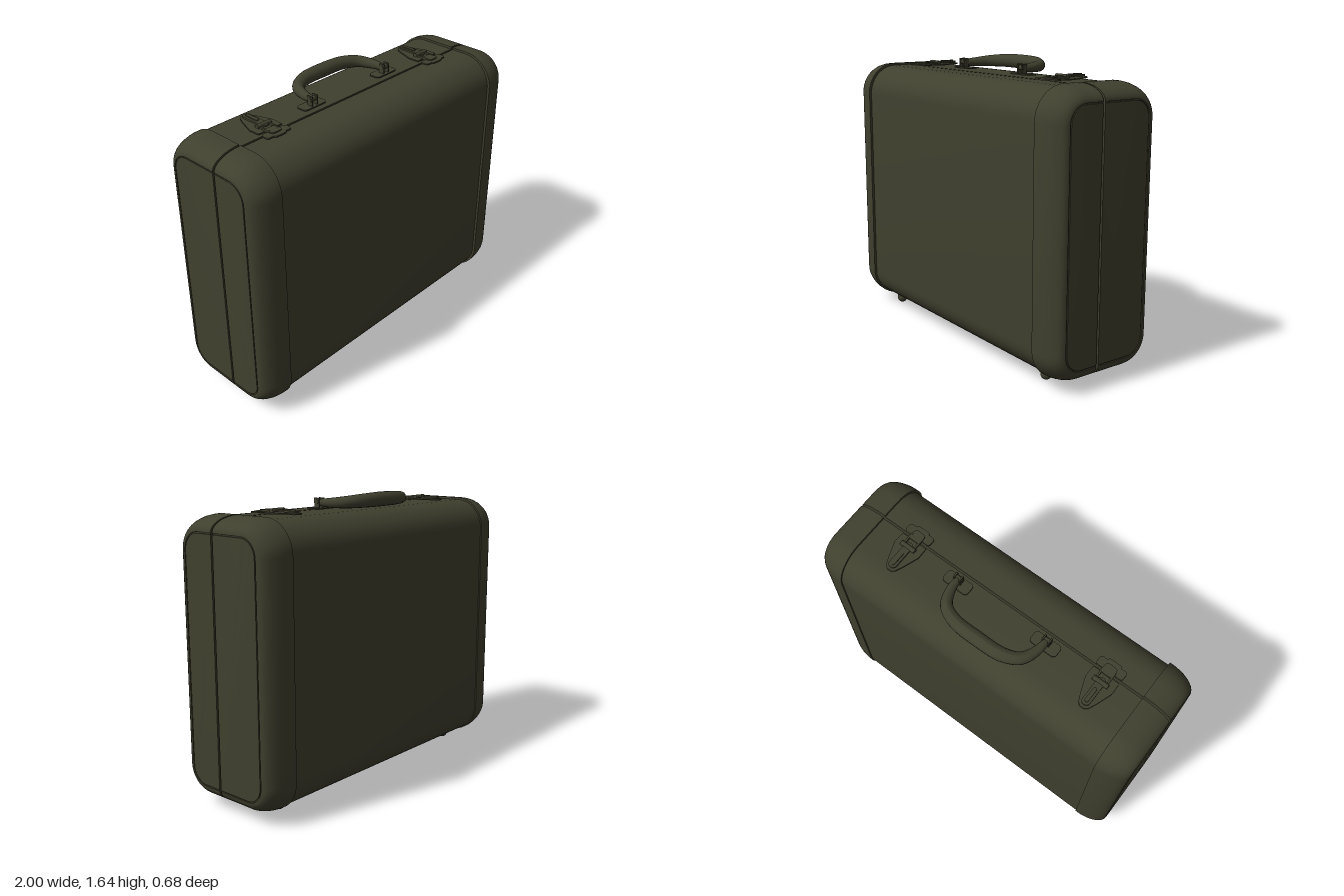
import * as THREE from 'three';
import { toCreasedNormals } from 'three/addons/utils/BufferGeometryUtils.js';

const olive = new THREE.MeshStandardMaterial({ color: 0x40402f });
olive.name = 'dark olive';

const SEAM_FRONT = 0.056, SEAM_BACK = 0.044;

function add(parent, name, geometry, x = 0, y = 0, z = 0) {
  const m = new THREE.Mesh(geometry, olive);
  m.name = name;
  m.position.set(x, y, z);
  parent.add(m);
  return m;
}

// Half of a rounded rectangle in (z, y), cut along the seam; s = 1 front, -1 back
function halfProfile(s, inset, box) {
  const top = box.top - inset, bottom = box.bottom + inset;
  const side = box.depth - inset, r = box.r - inset;
  const seam = s > 0 ? SEAM_FRONT : SEAM_BACK;
  const pts = [[seam, top]];
  const n = 10;
  for (let i = 0; i <= n; i++) {
    const a = (i / n) * Math.PI / 2;
    pts.push([s * (side - r + r * Math.sin(a)), top - r + r * Math.cos(a)]);
  }
  for (let i = 0; i <= n; i++) {
    const a = (i / n) * Math.PI / 2;
    pts.push([s * (side - r + r * Math.cos(a)), bottom + r - r * Math.sin(a)]);
  }
  pts.push([seam, bottom]);
  return s > 0 ? pts : pts.reverse();
}

// Closed loft through half profiles; sections are [x, inset] with x increasing
function loft(s, sections, box) {
  const pos = [], idx = [];
  const rings = sections.map(([x, d]) => halfProfile(s, d, box).map(([z, y]) => [x, y, z]));
  const n = rings[0].length;
  rings.forEach(r => r.forEach(p => pos.push(...p)));
  for (let i = 0; i < rings.length - 1; i++) {
    for (let j = 0; j < n; j++) {
      const k = (j + 1) % n, a = i * n, b = a + n;
      idx.push(a + j, a + k, b + j, a + k, b + k, b + j);
    }
  }
  const last = (rings.length - 1) * n;
  for (let j = 1; j < n - 1; j++) {
    idx.push(0, j + 1, j);
    idx.push(last, last + j, last + j + 1);
  }
  const g = new THREE.BufferGeometry();
  g.setAttribute('position', new THREE.Float32BufferAttribute(pos, 3));
  g.setIndex(idx);
  return toCreasedNormals(g, 0.5);
}

// Thin flat plate lying on y, outlined by (x, z) points
function plate(points, thickness) {
  const g = new THREE.ExtrudeGeometry(new THREE.Shape(points.map(([x, z]) => new THREE.Vector2(x, -z))),
    { depth: thickness, bevelEnabled: false });
  return g.rotateX(-Math.PI / 2);
}

function roundedPlate(w, d, r, thickness) {
  const pts = [];
  for (let q = 0; q < 4; q++) {
    for (let i = 0; i <= 5; i++) {
      const a = (q + i / 5) * Math.PI / 2;
      const sx = q === 0 || q === 3 ? 1 : -1, sz = q < 2 ? 1 : -1;
      pts.push([sx * (w / 2 - r) + r * Math.cos(a), -(sz * (d / 2 - r) + r * Math.sin(a))]);
    }
  }
  return plate(pts, thickness);
}

function makeHandle() {
  const g = new THREE.Group();
  g.name = 'handle';
  const curve = new THREE.CatmullRomCurve3([
    [-0.28, 1.587, -0.01], [-0.272, 1.588, -0.08], [-0.235, 1.593, -0.16], [-0.15, 1.598, -0.203],
    [0, 1.6, -0.212],
    [0.15, 1.598, -0.203], [0.235, 1.593, -0.16], [0.272, 1.588, -0.08], [0.28, 1.587, -0.01],
  ].map(p => new THREE.Vector3(...p)));
  const steps = 48, sides = 16;
  const tube = new THREE.TubeGeometry(curve, steps, 1, sides);
  // Taper the grip towards both ends
  const p = tube.attributes.position, v = new THREE.Vector3();
  for (let i = 0; i <= steps; i++) {
    const c = curve.getPointAt(i / steps);
    const r = 0.017 + 0.023 * Math.pow(Math.sin(Math.PI * i / steps), 0.7);
    for (let j = 0; j <= sides; j++) {
      const k = i * (sides + 1) + j;
      v.fromBufferAttribute(p, k).sub(c).multiplyScalar(r).add(c);
      p.setXYZ(k, v.x, v.y, v.z);
    }
  }
  tube.computeVertexNormals();
  add(g, 'grip', tube);
  for (const s of [-1, 1]) {
    add(g, 'handlePlate', roundedPlate(0.16, 0.072, 0.02, 0.007), s * 0.279, 1.553, -0.015);
    for (const o of [-0.018, 0.018])
      add(g, 'handleLug', new THREE.BoxGeometry(0.008, 0.055, 0.034), s * 0.28 + o, 1.585, -0.006);
    const pin = add(g, 'handlePin', new THREE.CylinderGeometry(0.014, 0.014, 0.05, 14), s * 0.28, 1.592, -0.006);
    pin.rotation.z = Math.PI / 2;
  }
  return g;
}

function makeLatch(x) {
  const g = new THREE.Group();
  g.name = 'latch';
  g.position.set(x, 1.553, 0);
  // Tapered base plate behind the seam
  const right = [[0.078, 0.035], [0.08, -0.03], [0.066, -0.07], [0.048, -0.12], [0.03, -0.16], [0.012, -0.174]];
  const left = right.map(([a, b]) => [-a, b]).reverse();
  add(g, 'latchBase', plate([...right, ...left], 0.007));
  // Lever with a rounded tip
  add(g, 'latchLever', roundedPlate(0.046, 0.17, 0.021, 0.009), 0, 0.01, -0.075);
  add(g, 'leverRidge', roundedPlate(0.02, 0.09, 0.009, 0.006), 0, 0.019, -0.1);
  // Pivot barrel, side lobes and the hook over the seam
  const pivot = add(g, 'latchPivot', new THREE.CylinderGeometry(0.013, 0.013, 0.09, 14), 0, 0.014, -0.015);
  pivot.rotation.z = Math.PI / 2;
  for (const s of [-1, 1]) {
    add(g, 'latchArm', new THREE.BoxGeometry(0.01, 0.012, 0.085), s * 0.032, 0.011, 0.02);
    add(g, 'catchLobe', roundedPlate(0.055, 0.052, 0.015, 0.008), s * 0.053, 0, 0.08);
  }
  add(g, 'latchHook', roundedPlate(0.07, 0.06, 0.018, 0.012), 0, 0.003, 0.06);
  add(g, 'catchPlate', roundedPlate(0.08, 0.065, 0.012, 0.008), 0, 0, 0.085);
  return g;
}

function makeHinge(x) {
  const g = new THREE.Group();
  g.name = 'hinge';
  g.position.set(x, 0.043, 0.05);
  for (const s of [-1, 1])
    add(g, 'hingeLeaf', roundedPlate(0.12, 0.05, 0.018, 0.008), 0, 0, s * 0.034);
  const barrel = add(g, 'hingeBarrel', new THREE.CylinderGeometry(0.007, 0.007, 0.08, 12), 0, 0.003, 0);
  barrel.rotation.z = Math.PI / 2;
  return g;
}

export function createModel() {
  const model = new THREE.Group();
  model.name = 'briefcase';

  // Two shells, each with a plain middle and a slightly larger rounded cap at both ends
  const capBox = { top: 1.558, bottom: 0.045, depth: 0.34, r: 0.18 };
  const capSections = [[0.825, 0]];
  for (let i = 1; i <= 9; i++) {
    const a = (i / 9) * Math.PI / 2;
    capSections.push([0.83 + 0.168 * Math.sin(a), 0.08 * (1 - Math.cos(a))]);
  }
  // Shallow step around the end panel
  capSections.push([0.993, 0.081], [0.993, 0.086], [0.998, 0.087]);
  const mirrored = capSections.map(([x, d]) => [-x, d]).reverse();

  for (const s of [1, -1]) {
    const shell = new THREE.Group();
    shell.name = s > 0 ? 'frontShell' : 'backShell';
    const box = { top: 1.545, bottom: 0.053, depth: s > 0 ? 0.326 : 0.333, r: 0.17 };
    add(shell, 'middleShell', loft(s, [[-0.83, 0], [0.83, 0]], box));
    add(shell, 'leftEndCap', loft(s, capSections, capBox));
    add(shell, 'rightEndCap', loft(s, mirrored, capBox));
    model.add(shell);
  }

  model.add(makeHandle(), makeLatch(-0.615), makeLatch(0.607), makeHinge(-0.63), makeHinge(0.63));

  // Ball feet on short stems
  for (const x of [-0.75, 0.75]) {
    for (const z of [0.18, -0.135]) {
      add(model, 'foot', new THREE.SphereGeometry(0.031, 20, 14), x, 0.031, z);
      add(model, 'footStem', new THREE.CylinderGeometry(0.03, 0.03, 0.03, 20), x, 0.046, z);
    }
  }
  return model;
}
